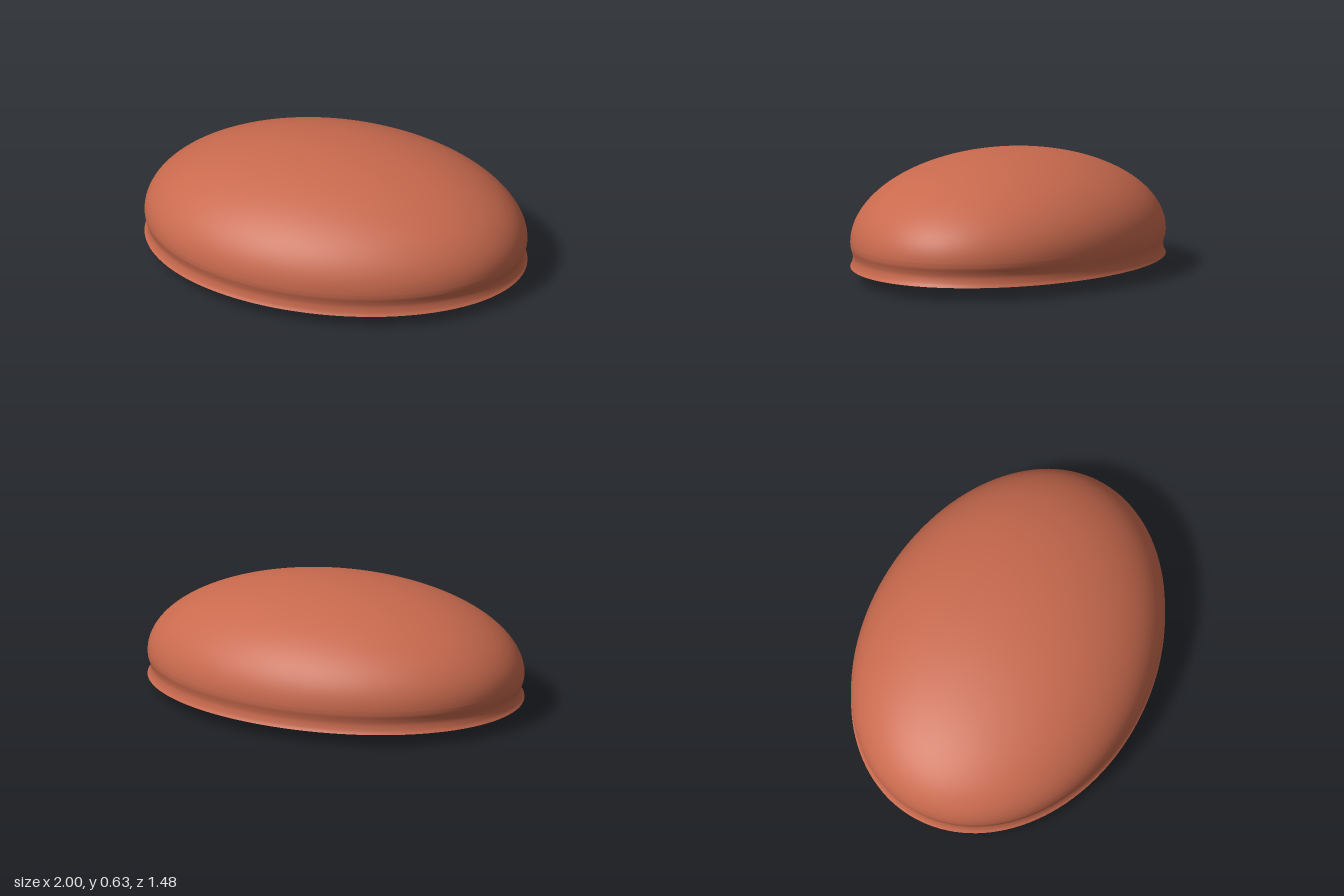
import * as THREE from 'three';
import { mergeVertices } from 'three/addons/utils/BufferGeometryUtils.js';

const DEPTH = 0.742;   // half depth of the oval relative to its half length
const RIM_Y = 0.067;

// Spin a profile, then squash it into a slightly skewed oval
function ovalLathe(points) {
  let geo = new THREE.LatheGeometry(points, 128);
  geo.deleteAttribute('uv');
  geo.deleteAttribute('normal');
  const p = geo.attributes.position;
  for (let i = 0; i < p.count; i++) {
    const x = p.getX(i), z = p.getZ(i) * DEPTH;
    const r2 = x * x + p.getZ(i) ** 2;
    p.setX(i, x + 0.05 * z - 0.025 * Math.max(0, r2 - x * x));
    p.setZ(i, z);
  }
  geo = mergeVertices(geo, 1e-5);
  geo.computeVertexNormals();
  return geo;
}

export function createModel() {
  const group = new THREE.Group();
  const material = new THREE.MeshStandardMaterial({ color: 0xc96a4e, side: THREE.DoubleSide });
  const add = (name, points) => {
    const mesh = new THREE.Mesh(ovalLathe(points), material);
    mesh.name = name;
    group.add(mesh);
  };

  // Shallow convex underside, up to the sharp rim
  const under = [];
  for (let i = 0; i <= 16; i++) {
    const r = i / 16;
    under.push(new THREE.Vector2(r, RIM_Y * Math.pow(r, 2.4)));
  }
  add('underside', under);

  // Rim, narrow groove and swelling up to the widest line of the dome
  const groove = new THREE.SplineCurve([
    [1, RIM_Y], [0.989, 0.085], [0.983, 0.115], [0.988, 0.14], [0.997, 0.165], [1, 0.19],
  ].map(([r, y]) => new THREE.Vector2(r, y)));
  const body = groove.getPoints(24);

  // Elliptical dome
  for (let i = 1; i <= 40; i++) {
    const a = (i / 40) * Math.PI / 2;
    body.push(new THREE.Vector2(i === 40 ? 0 : Math.cos(a), 0.19 + 0.436 * Math.sin(a)));
  }
  add('domedBody', body);

  return group;
}
